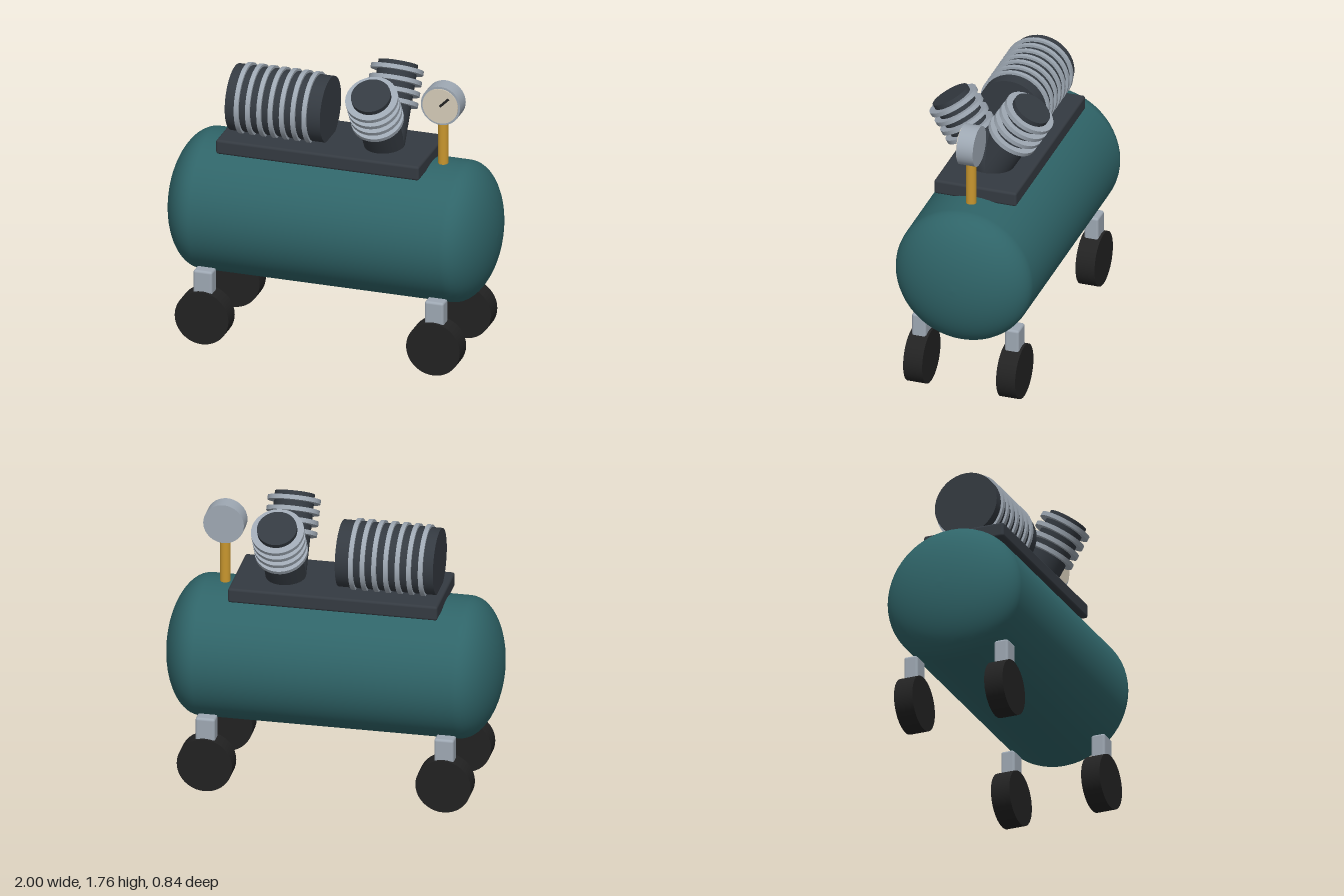
import * as THREE from 'three';
import { RoundedBoxGeometry } from 'three/addons/geometries/RoundedBoxGeometry.js';

const mat = (name, color) => {
  const m = new THREE.MeshStandardMaterial({ color });
  m.name = name;
  return m;
};

export function createModel() {
  const teal = mat('teal paint', 0x2f6468);
  const slate = mat('dark slate', 0x343a41);
  const steel = mat('light steel', 0x9ea8b3);
  const rubber = mat('black rubber', 0x222222);
  const brass = mat('brass', 0xc8962e);
  const cream = mat('dial cream', 0xd5cbb8);

  const model = new THREE.Group();
  model.name = 'airCompressor';

  const add = (parent, name, geometry, material, x = 0, y = 0, z = 0) => {
    const mesh = new THREE.Mesh(geometry, material);
    mesh.name = name;
    mesh.position.set(x, y, z);
    parent.add(mesh);
    return mesh;
  };
  const cylinder = (r, h, sides = 40) => new THREE.CylinderGeometry(r, r, h, sides);
  const alongX = (g) => g.rotateZ(Math.PI / 2);
  const alongZ = (g) => g.rotateX(Math.PI / 2);

  // Horizontal tank: straight barrel with flattened domed ends
  const R = 0.422, half = 0.775, dome = 0.225, steps = 14;
  const profile = [];
  for (let i = 0; i <= steps; i++) {
    const a = (i / steps) * Math.PI / 2;
    profile.push(new THREE.Vector2(R * Math.sin(a), -half - dome * Math.cos(a)));
  }
  for (let i = steps; i >= 0; i--) {
    profile.push(new THREE.Vector2(profile[i].x, -profile[i].y));
  }
  add(model, 'tank', alongX(new THREE.LatheGeometry(profile, 56)), teal, 0, 0.792, 0);

  // Four legs and wheels
  for (const sx of [-1, 1]) {
    for (const sz of [-1, 1]) {
      const caster = new THREE.Group();
      caster.name = (sz > 0 ? 'front' : 'back') + (sx > 0 ? 'Left' : 'Right') + 'Caster';
      caster.position.set(sx * 0.715, 0, sz * 0.288);
      add(caster, 'leg', new RoundedBoxGeometry(0.117, 0.22, 0.088, 3, 0.015), steel, 0, 0.352, 0);
      add(caster, 'wheel', alongZ(cylinder(0.166, 0.118)), rubber, 0, 0.168, 0);
      model.add(caster);
    }
  }

  // Mounting plate
  add(model, 'mountingPlate', new RoundedBoxGeometry(1.255, 0.09, 0.51, 3, 0.015), slate, -0.032, 1.234, 0);

  // Motor with cooling rings
  const motor = new THREE.Group();
  motor.name = 'motor';
  motor.position.set(-0.328, 1.457, 0);
  add(motor, 'motorBody', alongX(cylinder(0.198, 0.588)), slate);
  for (let i = 0; i < 7; i++) {
    add(motor, 'motorRing', alongX(cylinder(0.213, 0.027)), steel, -0.22 + i * 0.0697, 0, 0);
  }
  model.add(motor);

  // Pump: two finned cylinders in a V
  for (const side of [-1, 1]) {
    const head = new THREE.Group();
    head.name = side > 0 ? 'frontPumpCylinder' : 'backPumpCylinder';
    head.position.set(0.3, 1.28, 0);
    head.rotation.x = side * 0.55;
    add(head, 'pumpBarrel', cylinder(0.118, 0.49), slate, 0, 0.245, 0);
    for (let i = 0; i < 4; i++) {
      add(head, 'coolingFin', cylinder(0.157, 0.026), steel, 0, 0.255 + i * 0.064, 0);
    }
    model.add(head);
  }

  // Pressure gauge on a brass post
  const gauge = new THREE.Group();
  gauge.name = 'pressureGauge';
  gauge.position.set(0.663, 1.597, 0);
  add(gauge, 'gaugePost', cylinder(0.031, 0.39, 24), brass, 0, -0.3, 0);
  add(gauge, 'gaugeCase', alongZ(cylinder(0.122, 0.102)), steel);
  add(gauge, 'gaugeFace', alongZ(cylinder(0.109, 0.008)), cream, 0, 0, 0.054);
  const needle = add(gauge, 'gaugeNeedle', new THREE.BoxGeometry(0.014, 0.075, 0.007), rubber, 0.026, 0.027, 0.061);
  needle.rotation.z = -Math.PI / 4;
  model.add(gauge);

  return model;
}
